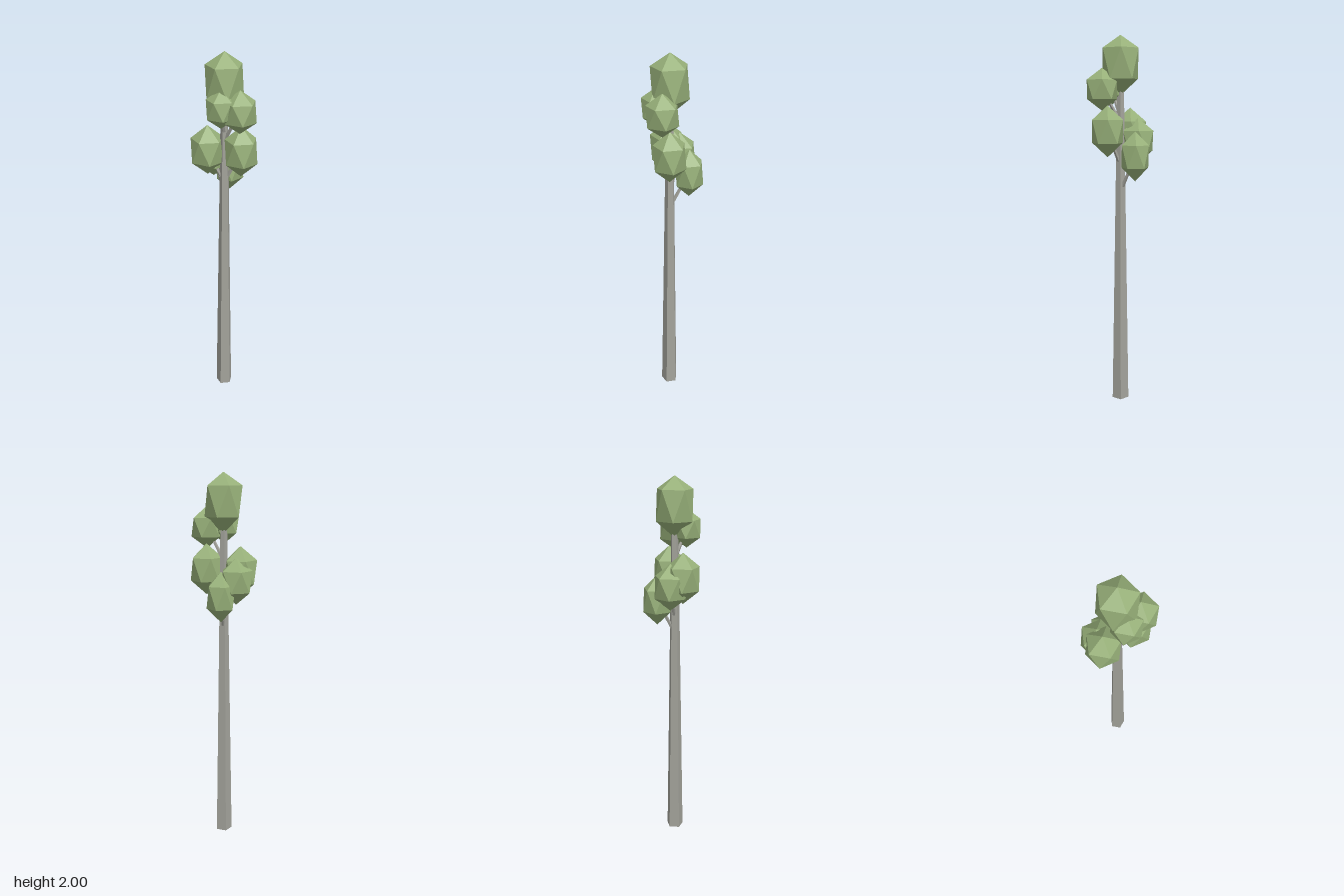
import * as THREE from 'three';

// Faceted leaf clump: two staggered five-sided rings capped by an upper and a lower point
function clumpGeometry(r, top, upper, lower, bottom) {
  const n = 5;
  const ring = (i, y, shift) => {
    const a = ((i + shift) / n) * Math.PI * 2;
    return [Math.cos(a) * r, y, Math.sin(a) * r];
  };
  const pos = [];
  for (let i = 0; i < n; i++) {
    const u0 = ring(i, upper, 0), u1 = ring(i + 1, upper, 0);
    const l0 = ring(i, lower, 0.5), l1 = ring(i + 1, lower, 0.5);
    pos.push(...[0, top, 0], ...u1, ...u0);
    pos.push(...u0, ...u1, ...l0);
    pos.push(...u1, ...l1, ...l0);
    pos.push(...l0, ...l1, ...[0, bottom, 0]);
  }
  const g = new THREE.BufferGeometry();
  g.setAttribute('position', new THREE.Float32BufferAttribute(pos, 3));
  g.computeVertexNormals();
  return g;
}

// Tapered five-sided limb between two points
function limb(from, to, r0, r1, material, name) {
  const dir = to.clone().sub(from);
  const mesh = new THREE.Mesh(new THREE.CylinderGeometry(r1, r0, dir.length(), 5), material);
  mesh.geometry.rotateY(Math.PI / 2);
  mesh.position.copy(from).addScaledVector(dir, 0.5);
  mesh.quaternion.setFromUnitVectors(new THREE.Vector3(0, 1, 0), dir.normalize());
  mesh.name = name;
  return mesh;
}

export function createModel() {
  const tree = new THREE.Group();
  tree.name = 'tree';
  const bark = new THREE.MeshStandardMaterial({ color: 0xa3a39b, flatShading: true });
  bark.name = 'greyBark';
  const leaf = new THREE.MeshStandardMaterial({ color: 0x97b079, flatShading: true });
  leaf.name = 'leafGreen';

  // Trunk
  tree.add(limb(new THREE.Vector3(0, 0, 0), new THREE.Vector3(0, 1.8, 0), 0.047, 0.018, bark, 'trunk'));

  // Crown
  const crown = new THREE.Mesh(clumpGeometry(0.098, 0.155, 0.088, -0.07, -0.155), leaf);
  crown.position.y = 1.845;
  crown.name = 'crown';
  tree.add(crown);

  // Side clumps: x, y, z, radius, half height, height where the branch leaves the trunk
  const clumps = [
    [0.037, 1.72, 0.098, 0.083, 0.11, 1.55],
    [-0.045, 1.735, 0.052, 0.075, 0.1, 1.58],
    [0.06, 1.503, 0.07, 0.085, 0.135, 1.32],
    [-0.07, 1.493, -0.055, 0.088, 0.133, 1.32],
    [-0.016, 1.45, -0.094, 0.085, 0.122, 1.26],
    [0.068, 1.372, -0.075, 0.075, 0.132, 1.18],
  ];
  for (const [x, y, z, r, h, start] of clumps) {
    const clump = new THREE.Mesh(clumpGeometry(r, h, h * 0.45, -h * 0.45, -h), leaf);
    clump.position.set(x, y, z);
    clump.name = 'leafClump';
    tree.add(clump);
    tree.add(limb(new THREE.Vector3(0, start, 0), new THREE.Vector3(x, y, z), 0.011, 0.007, bark, 'branch'));
  }
  return tree;
}
